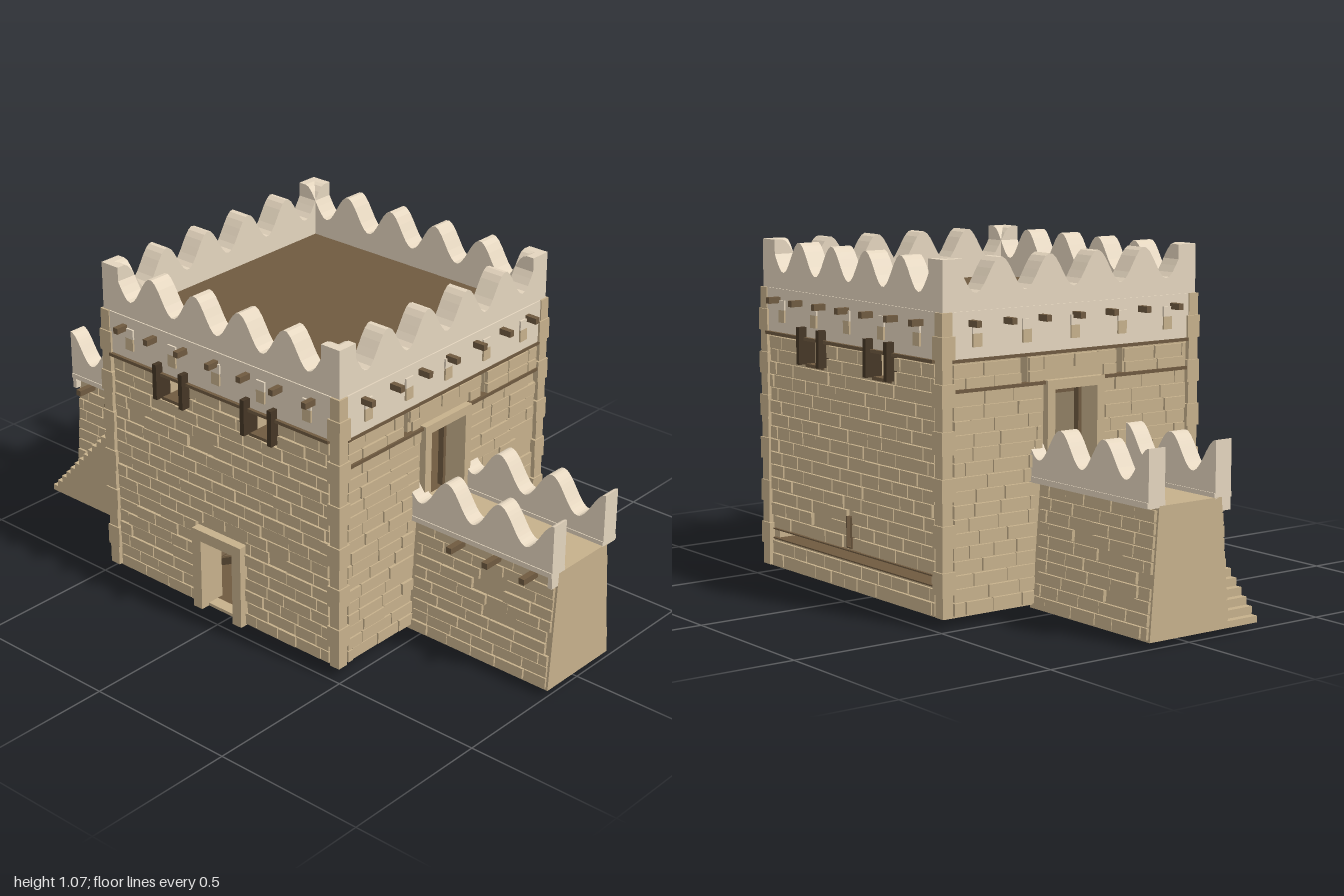
import * as THREE from 'three';
import { mergeGeometries } from 'three/addons/utils/BufferGeometryUtils.js';

const mat = (name, hex) => { const m = new THREE.MeshStandardMaterial({ color: hex }); m.name = name; return m; };

export function createModel() {
  const root = new THREE.Group();
  root.name = 'mudBrickFort';
  const stone = mat('tanStone', 0xc6b08b), pale = mat('palePlaster', 0xe4d5be);
  const wood = mat('brownWood', 0x6f5a40), dark = mat('darkWood', 0x453625);

  let seed = 7;
  const rand = () => (seed = (seed * 16807) % 2147483647) / 2147483647;

  const mesh = (parent, name, geo, material) => {
    const m = new THREE.Mesh(geo, material);
    m.name = name;
    parent.add(m);
    return m;
  };
  // box from its minimum and maximum corners
  const boxGeo = (x0, x1, y0, y1, z0, z1) =>
    new THREE.BoxGeometry(x1 - x0, y1 - y0, z1 - z0).translate((x0 + x1) / 2, (y0 + y1) / 2, (z0 + z1) / 2);
  const box = (parent, name, material, ...b) => mesh(parent, name, boxGeo(...b), material);
  const group = (parent, name, angle = 0) => {
    const g = new THREE.Group();
    g.name = name;
    g.rotation.y = angle;
    parent.add(g);
    return g;
  };
  const extrude = (shape, z0, z1) =>
    new THREE.ExtrudeGeometry(shape, { depth: z1 - z0, bevelEnabled: false }).translate(0, 0, z0);
  const polygon = pts => new THREE.Shape(pts.map(p => new THREE.Vector2(...p)));

  // wall panel with rectangular openings [x0, x1, y0, y1]
  const panel = (w, y0, y1, holes, z0, z1) => {
    const s = polygon([[-w, y0], [w, y0], [w, y1], [-w, y1]]);
    for (const [a, b, c, d] of holes)
      s.holes.push(new THREE.Path([[a, c], [b, c], [b, d], [a, d]].map(p => new THREE.Vector2(...p))));
    return extrude(s, z0, z1);
  };

  // parapet with a wavy top edge
  const waveWall = (x0, x1, y0, height, z0, z1) => {
    const pts = [[x0, y0], [x1, y0]], n = 72;
    for (let i = 0; i <= n; i++) {
      const x = x1 + (x0 - x1) * i / n;
      pts.push([x, height(x)]);
    }
    return extrude(polygon(pts), z0, z1);
  };

  // courses of raised bricks, cut around the openings
  const bricks = (x0, x1, y0, y1, rows, width, z, depth, holes, skip) => {
    const out = [], h = (y1 - y0) / rows, gap = 0.002;
    for (let r = 0; r < rows; r++) {
      const a = y0 + r * h, b = a + h;
      let x = x0 - rand() * width * 0.7;
      while (x < x1) {
        const next = x + width * (0.75 + rand() * 0.5);
        let parts = [[Math.max(x, x0), Math.min(next, x1)]];
        for (const [p, q, c, d] of holes) {
          if (b <= c + 0.004 || a >= d - 0.004) continue;
          parts = parts.flatMap(([s, t]) => [[s, Math.min(t, p)], [Math.max(s, q), t]].filter(v => v[1] > v[0]));
        }
        const keep = rand() >= skip, bulge = depth * (0.7 + rand() * 0.5);
        for (const [s, t] of parts)
          if (keep && t - s > 0.015) out.push(boxGeo(s + gap, t - gap, a + gap, b - gap, z - 0.002, z + bulge));
        x = next;
      }
    }
    return mergeGeometries(out);
  };

  // stone frame of three boxes round a doorway
  const doorFrame = (g, hw, y0, top, t, z0, z1) => {
    for (const s of [-1, 1]) box(g, 'doorJamb', stone, Math.min(s * hw, s * (hw + t)), Math.max(s * hw, s * (hw + t)), y0, top, z0, z1);
    box(g, 'doorLintel', stone, -hw - t, hw + t, top, top + t, z0, z1);
  };

  // ---- Tower: four sides ----
  const windows = [-0.18, 0.18].map(x => [x - 0.047, x + 0.047, 0.70, 0.79]);
  const frontDoor = [-0.065, 0.065, 0.04, 0.27], sideDoor = [-0.08, 0.08, 0.40, 0.67];
  const backSlots = [[-0.43, 0.43, 0.125, 0.155], [-0.012, 0.012, 0.165, 0.26]];
  const sideSlits = [-0.18, 0.18].map(x => [x - 0.013, x + 0.013, 0.695, 0.78]);
  const sides = [
    { name: 'frontSide', holes: [...windows, frontDoor], cut: [[-0.1, 0.1, 0, 0.31]], win: true },
    { name: 'leftSide', holes: [sideDoor, ...sideSlits], cut: [[-0.115, 0.115, 0.38, 0.7], [-0.14, 0.14, 0, 0.4]] },
    { name: 'backSide', holes: [...windows, ...backSlots], cut: [], win: true },
    { name: 'rightSide', holes: [sideDoor, ...sideSlits], cut: [[-0.115, 0.115, 0.38, 0.7], [-0.14, 0.14, 0, 0.4]] },
  ];
  const towerTop = u => Math.abs(u) > 0.45 ? 1.07 : 1.02 - 0.05 * Math.cos(u * 2 * Math.PI / 0.18);

  sides.forEach((side, i) => {
    const g = group(root, side.name, i * Math.PI / 2);
    mesh(g, 'wall', panel(0.47, 0.03, 0.80, side.holes, 0.41, 0.47), stone);
    mesh(g, 'wallBricks', bricks(-0.44, 0.44, 0.035, 0.77, 18, side.win ? 0.09 : 0.11, 0.47, 0.01,
      [...side.holes, ...side.cut], 0.02), stone);
    mesh(g, 'parapet', waveWall(-0.477, 0.477, 0.80, towerTop, 0.408, 0.477), pale);
    box(g, 'parapetBand', pale, -0.447, 0.447, 0.784, 0.92, 0.44, 0.481);
    box(g, 'parapetTrim', wood, -0.446, 0.446, 0.774, 0.784, 0.46, side.win ? 0.492 : 0.484);
    // protruding roof beams
    for (let k = -3; k <= 3; k++)
      box(g, 'roofBeam', wood, k * 0.127 - 0.009, k * 0.127 + 0.009, 0.876, 0.895, 0.44, 0.522);
    // small hooded spouts
    for (let k = -2; k <= 2; k++) {
      const x = k * 0.18;
      box(g, 'spoutHood', pale, x - 0.017, x + 0.017, 0.855, 0.886, 0.47, 0.487);
      box(g, 'spoutLip', stone, x - 0.016, x + 0.016, 0.816, 0.855, 0.47, 0.487);
    }
    if (side.win) {
      for (const x of [-0.18, 0.18]) {
        for (const s of [-1, 1])
          box(g, 'windowPost', dark, x + s * 0.054 - 0.008, x + s * 0.054 + 0.008, 0.70, 0.815, 0.45, 0.508);
        box(g, 'windowSill', wood, x - 0.05, x + 0.05, 0.692, 0.702, 0.412, 0.482);
      }
    } else {
      doorFrame(g, 0.08, 0.40, 0.67, 0.028, 0.45, 0.492);
      for (const s of [-1, 1]) {
        box(g, 'doorPost', wood, s * 0.072 - 0.006, s * 0.072 + 0.006, 0.41, 0.665, 0.40, 0.42);
        const a = s > 0 ? 0.11 : -0.445;
        box(g, 'wallBeam', wood, a, a + 0.335, 0.687, 0.697, 0.46, 0.486);
      }
    }
    // corner stones, alternating in size
    for (let k = 0; k < 13; k++) {
      const y = 0.035 + k * 0.0681, e = k % 2 ? 0.488 : 0.484, w = k % 2 ? 0.44 : 0.448;
      box(g, 'cornerStone', stone, w, e, y, y + 0.0675, w, e);
    }
  });

  // wooden lining of the slots in the back wall
  const lining = group(root, 'backSlotLining', Math.PI);
  for (const y of [0.123, 0.153]) box(lining, 'slotRail', wood, -0.43, 0.43, y, y + 0.004, 0.412, 0.482);
  for (const x of [-0.014, 0.01]) box(lining, 'slotPost', wood, x, x + 0.004, 0.165, 0.26, 0.412, 0.482);
  box(lining, 'slotSill', wood, -0.014, 0.014, 0.163, 0.167, 0.412, 0.482);

  // front doorway and open door leaf
  const entry = group(root, 'frontDoorway');
  doorFrame(entry, 0.065, 0.03, 0.27, 0.036, 0.44, 0.50);
  box(entry, 'doorLeaf', wood, 0.03, 0.065, 0.04, 0.225, 0.36, 0.43);

  // ---- Floors and interior ----
  box(root, 'roofFloor', wood, -0.412, 0.412, 0.89, 0.91, -0.412, 0.412);
  box(root, 'upperFloor', wood, -0.412, 0.412, 0.37, 0.395, -0.412, 0.412);
  box(root, 'groundFloor', wood, -0.43, 0.43, 0.028, 0.04, -0.43, 0.43);
  box(root, 'crossBeam', wood, -0.01, 0.01, 0.57, 0.60, -0.41, 0.41);
  const ladder = group(root, 'ladder');
  ladder.position.set(-0.35, 0.015, 0);
  ladder.rotation.z = 0.47;
  for (const z of [0.27, 0.4]) box(ladder, 'ladderRail', wood, -0.01, 0.78, -0.011, 0.011, z - 0.01, z + 0.01);
  for (let k = 1; k < 11; k++) box(ladder, 'ladderRung', wood, k * 0.07 - 0.006, k * 0.07 + 0.006, -0.006, 0.006, 0.27, 0.4);

  // ---- Side walls with walkways ----
  const wingTop = x => 0.52 + 0.05 * Math.cos((Math.abs(x) - 1) * 2 * Math.PI / 0.195);
  const lean = Math.atan(0.03 / 0.385);
  for (const s of [-1, 1]) {
    const g = group(root, s > 0 ? 'leftWing' : 'rightWing');
    const span = (a, b) => s > 0 ? [a, b] : [-b, -a];
    const body = extrude(polygon([[-0.147, 0.02], [0.147, 0.02], [0.117, 0.405], [-0.117, 0.405]]), 0.46, 1);
    mesh(g, 'wingWall', body.rotateY(s * Math.PI / 2), stone);
    for (const f of [1, -1]) {
      // sloping brick facing
      const turn = group(g, 'wingFacing', f > 0 ? 0 : Math.PI);
      const tilt = group(turn, 'wingSlope');
      tilt.position.set(0, 0.02, 0.147);
      tilt.rotation.x = -lean;
      const [x0, x1] = s * f > 0 ? [0.485, 0.995] : [-0.995, -0.485];
      mesh(tilt, 'wingBricks', bricks(x0, x1, 0.005, 0.375, 10, 0.1, 0, 0.01, [], 0.04), stone);
      // wavy parapet and ledge; the stair side stops short at the landing
      const ends = span(f > 0 && s < 0 ? 0.61 : 0.47, 1);
      const [z0, z1] = f > 0 ? [0.092, 0.151] : [-0.157, -0.097];
      mesh(g, 'wingParapet', waveWall(...ends, 0.40, wingTop, z0, z1), pale);
      box(g, 'wingLedge', pale, ...ends, 0.402, 0.418, z0 - 0.003, z1 + 0.003);
    }
    box(g, 'endCorbel', pale, ...span(0.985, 1), 0.365, 0.41, 0.1, 0.15);
    for (const x of [0.657, 0.79, 0.925])
      box(g, 'wingBeam', wood, ...span(x - 0.01, x + 0.01), 0.373, 0.392, 0.09, 0.196);
  }

  // ---- Staircase along the right wing ----
  const steps = 17, pts = [[-1, 0.02]];
  for (let k = 0; k < steps; k++) {
    const x = -1 + 0.38 * k / steps, y = 0.04 + 0.385 * k / (steps - 1);
    pts.push([x, y], [x + 0.38 / steps, y]);
  }
  pts.push([-0.46, 0.425], [-0.46, 0.02]);
  mesh(root, 'staircase', extrude(polygon(pts.reverse()), 0.13, 0.262), stone);
  box(root, 'stairLanding', stone, -0.615, -0.46, 0.40, 0.425, 0.09, 0.262);

  return root;
}
